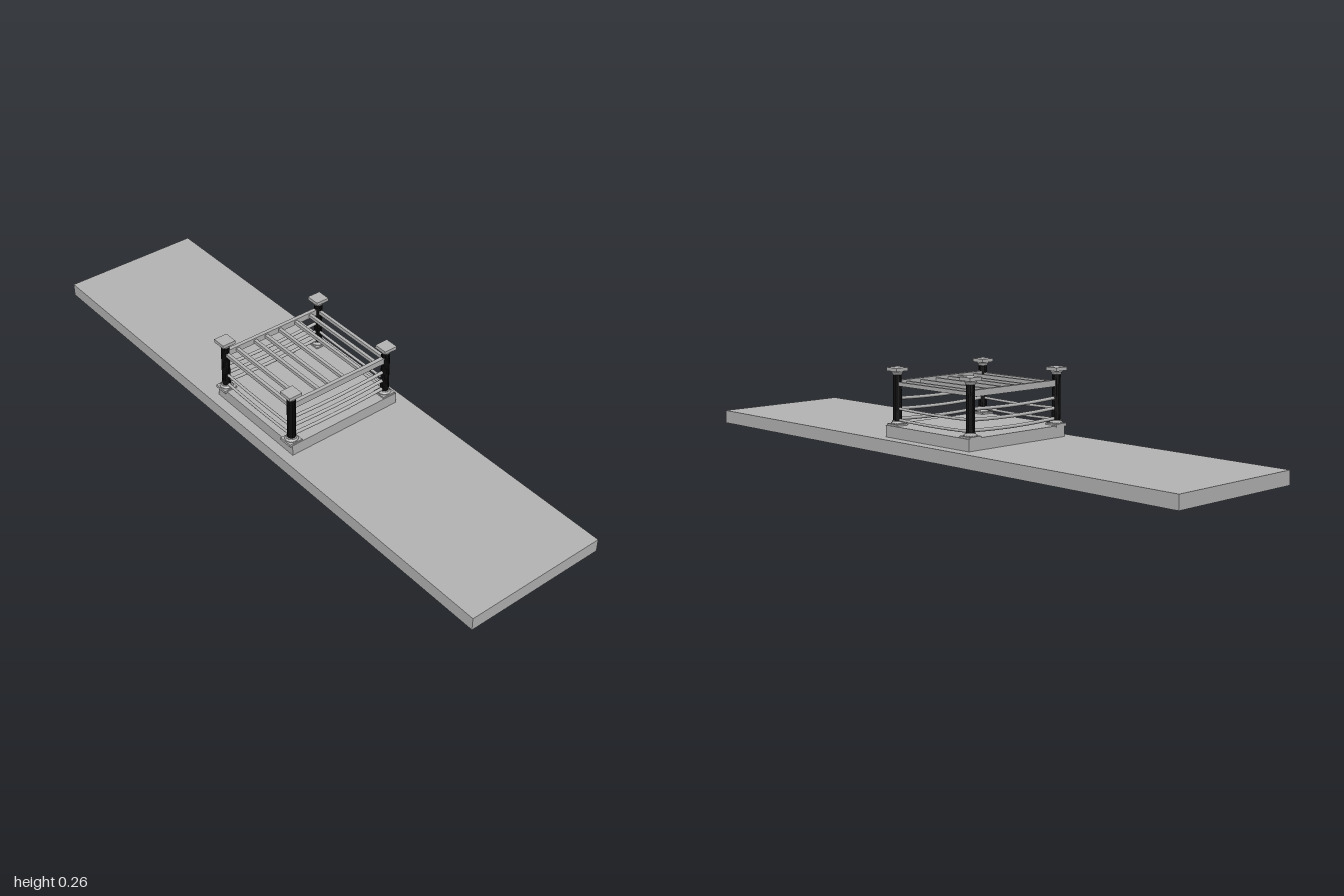
import * as THREE from 'three';

const stone = new THREE.MeshStandardMaterial({ color: 0xb4b4b4 });
stone.name = 'grey stone';
const black = new THREE.MeshStandardMaterial({ color: 0x0b0b0b });
black.name = 'black column';

const LEFT = 0.175, RIGHT = -0.19, FRONT = 0.16, BACK = -0.168;
const MID_X = (LEFT + RIGHT) / 2, MID_Z = (FRONT + BACK) / 2;

function add(parent, name, geometry, material, x = 0, y = 0, z = 0) {
  const mesh = new THREE.Mesh(geometry, material);
  mesh.name = name;
  mesh.position.set(x, y, z);
  parent.add(mesh);
  return mesh;
}

// box given by its centre in x and z, and its bottom and top
function block(parent, name, w, d, y0, y1, x, z) {
  return add(parent, name, new THREE.BoxGeometry(w, y1 - y0, d), stone, x, (y0 + y1) / 2, z);
}

// fluted shaft made from an open scalloped outline
function shaftGeometry(radius, height, flutes) {
  const g = new THREE.CylinderGeometry(radius, radius, height, flutes * 4, 1);
  const p = g.attributes.position;
  for (let i = 0; i < p.count; i++) {
    const a = Math.atan2(p.getZ(i), p.getX(i));
    const k = 1 - 0.07 * Math.abs(Math.sin(a * flutes / 2));
    p.setX(i, p.getX(i) * k);
    p.setZ(i, p.getZ(i) * k);
  }
  g.computeVertexNormals();
  return g;
}

function profile(points) {
  return new THREE.LatheGeometry(points.map(([r, y]) => new THREE.Vector2(r, y)), 32);
}

// corner column with moulded base and capital
function column(x, z) {
  const g = new THREE.Group();
  g.name = 'cornerColumn';
  g.position.set(x, 0, z);
  block(g, 'basePlate', 0.046, 0.046, 0.076, 0.085, 0, 0);
  add(g, 'baseMoulding', profile([
    [0.02, 0.085], [0.021, 0.087], [0.02, 0.089], [0.016, 0.09], [0.017, 0.093], [0.016, 0.095], [0, 0.095],
  ]), stone);
  add(g, 'shaft', shaftGeometry(0.0135, 0.145, 16), black, 0, 0.166, 0);
  add(g, 'capitalMoulding', profile([
    [0, 0.237], [0.015, 0.237], [0.016, 0.24], [0.015, 0.242], [0.018, 0.244], [0.02, 0.248], [0.02, 0.25],
  ]), stone);
  block(g, 'capitalPlate', 0.046, 0.046, 0.249, 0.26, 0, 0);
  return g;
}

// rope between two points, sagging in the middle
function rope(parent, name, a, b, radius, sag) {
  const mid = a.clone().add(b).multiplyScalar(0.5);
  mid.y -= 2 * sag;
  const curve = new THREE.QuadraticBezierCurve3(a, mid, b);
  add(parent, name, new THREE.TubeGeometry(curve, 16, radius, 12), stone);
}

export function createModel() {
  const model = new THREE.Group();
  model.name = 'ropedEnclosure';

  // ground slab and plinth
  block(model, 'groundSlab', 0.48, 2, 0, 0.043, 0, 0);
  block(model, 'plinth', 0.407, 0.375, 0.043, 0.08, -0.0015, -0.0025);

  // columns
  for (const x of [LEFT, RIGHT]) for (const z of [FRONT, BACK]) model.add(column(x, z));

  // front and back beams with three sagging ropes each
  for (const z of [FRONT, BACK]) {
    block(model, 'crossBeam', LEFT - RIGHT - 0.02, 0.013, 0.2, 0.22, MID_X, z);
    for (const y of [0.164, 0.132, 0.1]) {
      rope(model, 'crossRope', new THREE.Vector3(RIGHT + 0.008, y, z),
        new THREE.Vector3(LEFT - 0.008, y, z), 0.0055, 0.005);
    }
  }

  // side beams with two ropes each
  for (const x of [LEFT, RIGHT]) {
    block(model, 'sideBeam', 0.011, FRONT - BACK - 0.02, 0.203, 0.215, x, MID_Z);
    for (const y of [0.132, 0.097]) {
      rope(model, 'sideRope', new THREE.Vector3(x, y, FRONT - 0.008),
        new THREE.Vector3(x, y, BACK + 0.008), 0.0045, 0.003);
    }
  }

  // open rafters
  for (const x of [-0.148, -0.08, -0.037, 0.016, 0.08, 0.138]) {
    block(model, 'rafter', 0.011, FRONT - BACK, 0.204, 0.215, x, MID_Z);
  }
  return model;
}
